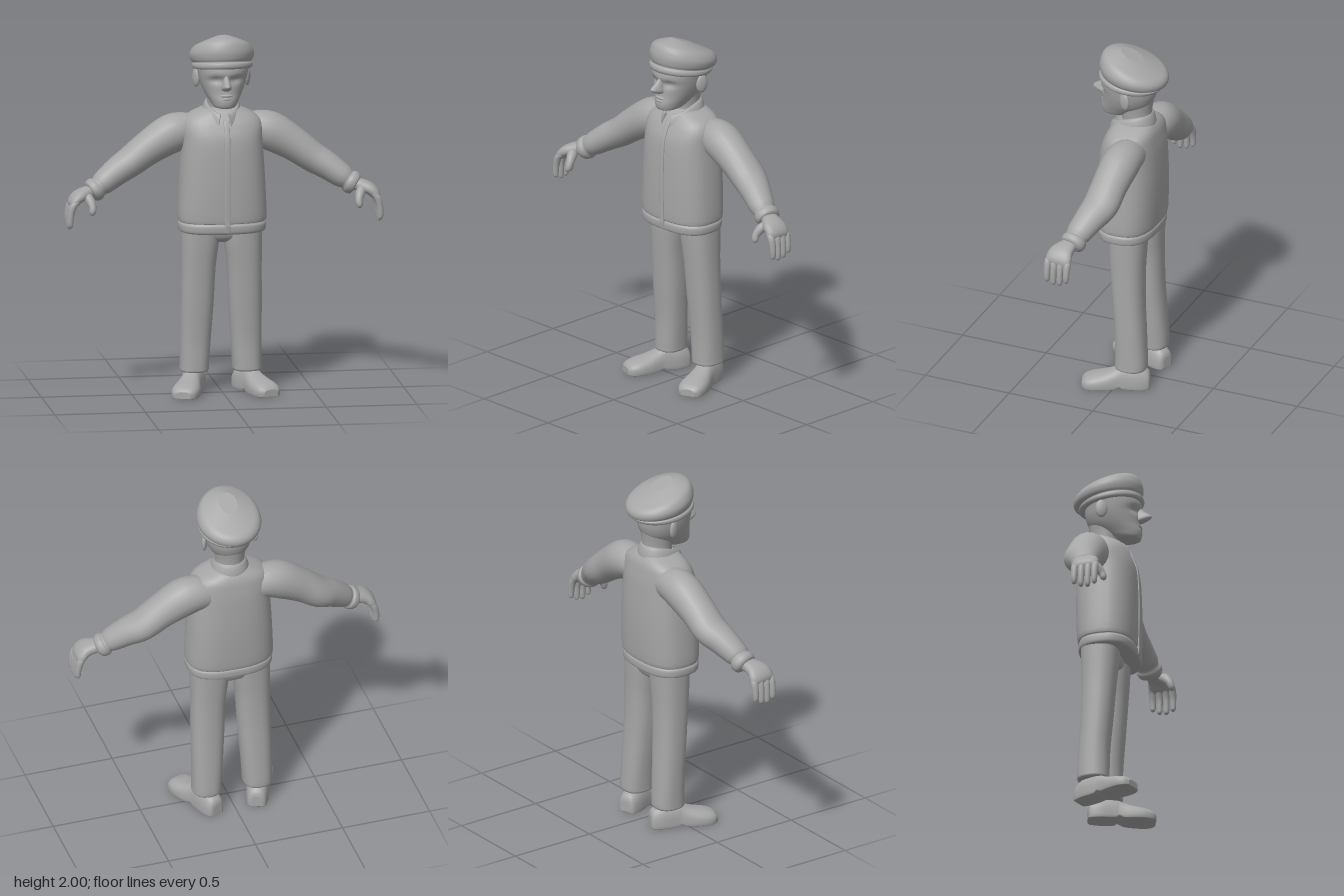
import * as THREE from 'three';

const clay = new THREE.MeshStandardMaterial({ color: 0xa6a6a6 });
clay.name = 'clay grey';
const V = (x, y, z) => new THREE.Vector3(x, y, z);

// Catmull-Rom smoothing of a table of section parameters
function smooth(rows, n = 4) {
  const out = [], at = i => rows[Math.min(rows.length - 1, Math.max(0, i))];
  for (let i = 0; i < rows.length - 1; i++) {
    const [p, a, b, q] = [at(i - 1), at(i), at(i + 1), at(i + 2)];
    for (let k = 0; k < n; k++) {
      const t = k / n;
      out.push(a.map((v, j) => v + 0.5 * t * (b[j] - p[j] +
        t * (2 * p[j] - 5 * v + 4 * b[j] - q[j] + t * (3 * (v - b[j]) + q[j] - p[j])))));
    }
  }
  out.push(rows[rows.length - 1]);
  return out;
}

// Superellipse ring around centre c with half axes u and v
function ring(c, u, v, e = 2, n = 32) {
  const pw = s => Math.sign(s) * Math.pow(Math.abs(s), 2 / e);
  return Array.from({ length: n }, (_, i) => {
    const a = i / n * Math.PI * 2;
    return c.clone().addScaledVector(u, pw(Math.cos(a))).addScaledVector(v, pw(Math.sin(a)));
  });
}

// Closed skin over a list of rings, always facing outward
function loft(rings) {
  const n = rings[0].length, pos = [], idx = [];
  rings.forEach(r => r.forEach(p => pos.push(p.x, p.y, p.z)));
  for (let i = 0; i < rings.length - 1; i++) for (let j = 0; j < n; j++) {
    const a = i * n + j, b = i * n + (j + 1) % n;
    idx.push(a, b, a + n, b, b + n, a + n);
  }
  [0, rings.length - 1].forEach(k => {
    const c = rings[k].reduce((s, p) => s.add(p), V(0, 0, 0)).divideScalar(n);
    const m = pos.length / 3, base = m + 1;
    pos.push(c.x, c.y, c.z);
    rings[k].forEach(p => pos.push(p.x, p.y, p.z));
    for (let j = 0; j < n; j++) {
      const a = base + j, b = base + (j + 1) % n;
      k ? idx.push(m, a, b) : idx.push(m, b, a);
    }
  });
  const P = i => V(pos[3 * i], pos[3 * i + 1], pos[3 * i + 2]);
  let vol = 0;
  for (let i = 0; i < idx.length; i += 3) vol += P(idx[i]).dot(P(idx[i + 1]).cross(P(idx[i + 2])));
  if (vol < 0) idx.reverse();
  const g = new THREE.BufferGeometry();
  g.setAttribute('position', new THREE.Float32BufferAttribute(pos, 3));
  g.setIndex(idx);
  g.computeVertexNormals();
  return g;
}

// Upright body: rows of y, centre x, half width, front z, back z
const upright = (rows, e = 2, n = 4) => loft(smooth(rows, n).map(([y, x, hx, f, b]) =>
  ring(V(x, y, (f + b) / 2), V(hx, 0, 0), V(0, 0, (f - b) / 2), e)));

// Limb: rows of x, y, z, half thickness, half depth along a path
function limb(rows, e = 2, n = 4) {
  const s = smooth(rows, n), c = s.map(r => V(r[0], r[1], r[2]));
  return loft(s.map((r, i) => {
    const d = c[Math.min(i + 1, c.length - 1)].clone().sub(c[Math.max(i - 1, 0)]).normalize();
    const side = V(0, 0, 1).addScaledVector(d, -d.z).normalize();
    return ring(c[i], side.clone().cross(d).multiplyScalar(r[3]), side.multiplyScalar(r[4]), e, 20);
  }));
}

function mirrored(geo) {
  const g = geo.clone().scale(-1, 1, 1);
  g.setIndex(Array.from(geo.index.array).reverse());
  g.computeVertexNormals();
  return g;
}

export function createModel() {
  const model = new THREE.Group();
  model.name = 'man in cap and jacket';
  const add = (name, geo) => {
    const m = new THREE.Mesh(geo, clay);
    m.name = name;
    model.add(m);
  };
  const pair = (name, geo) => {
    add('left ' + name, geo);
    add('right ' + name, mirrored(geo));
  };
  const ball = (x, y, z, sx, sy, sz, ry = 0) =>
    new THREE.SphereGeometry(1, 24, 16).scale(sx, sy, sz).rotateY(ry).translate(x, y, z);

  // Jacket with hem band and front closure
  add('jacket', upright([
    [0.9, 0, 0.222, 0.125, -0.16], [0.91, 0, 0.238, 0.14, -0.174], [0.945, 0, 0.24, 0.143, -0.176],
    [0.96, 0, 0.232, 0.136, -0.17], [0.985, 0, 0.244, 0.143, -0.182], [1.2, 0, 0.235, 0.146, -0.19],
    [1.4, 0, 0.222, 0.138, -0.185], [1.49, 0, 0.22, 0.112, -0.175], [1.54, 0, 0.19, 0.085, -0.165],
    [1.575, 0, 0.12, 0.06, -0.145], [1.59, 0, 0.08, 0.035, -0.12]], 2.6));
  add('placket', loft(smooth([[0.915, 0.138], [0.95, 0.142], [0.985, 0.141], [1.2, 0.144], [1.4, 0.136],
    [1.49, 0.11], [1.53, 0.09]]).map(([y, z]) => ring(V(0.008, y, z), V(0.016, 0, 0), V(0, 0, 0.009), 4, 16))));
  const collar = [];
  for (let i = 0; i <= 40; i++) {
    const a = 0.3 + (2 * Math.PI - 0.6) * i / 40, k = ((1 + Math.cos(a)) / 2) ** 2;
    collar.push(ring(V(Math.sin(a) * 0.092, 1.595 - 0.07 * k, -0.045 + Math.cos(a) * 0.088 + 0.055 * k),
      V(Math.sin(a) * 0.012, 0, Math.cos(a) * 0.012), V(Math.sin(a) * -0.01, 0.038, Math.cos(a) * -0.01), 2.4, 14));
  }
  add('collar', loft(collar));

  // Sleeves with gathered cuffs
  pair('sleeve', limb([
    [0.12, 1.44, -0.07, 0.085, 0.085], [0.2, 1.45, -0.07, 0.1, 0.098], [0.28, 1.432, -0.064, 0.108, 0.106],
    [0.4, 1.362, -0.055, 0.094, 0.1], [0.5, 1.29, -0.047, 0.084, 0.1], [0.58, 1.243, -0.02, 0.077, 0.086],
    [0.66, 1.187, 0.01, 0.066, 0.072], [0.686, 1.168, 0.017, 0.056, 0.063], [0.703, 1.157, 0.02, 0.066, 0.072],
    [0.728, 1.142, 0.023, 0.06, 0.067], [0.738, 1.136, 0.025, 0.035, 0.045]]));

  // Hands
  pair('palm', limb([[0.715, 1.148, 0.025, 0.034, 0.042], [0.76, 1.14, 0.04, 0.034, 0.053],
    [0.805, 1.122, 0.055, 0.034, 0.07], [0.835, 1.092, 0.058, 0.028, 0.074], [0.845, 1.07, 0.06, 0.014, 0.065]], 2.4));
  [0.97, 0.95, 0.945, 0.96].forEach((tip, i) => {
    const z = 0.002 + 0.038 * i;
    pair('finger ' + (i + 1), limb([[0.815, 1.105, z, 0.014, 0.014], [0.84, 1.08, z, 0.02, 0.02],
      [0.853, 1.035, z, 0.018, 0.018], [0.857, tip + 0.03, z, 0.016, 0.016],
      [0.855, tip + 0.008, z, 0.012, 0.012], [0.853, tip, z, 0.003, 0.003]]));
  });
  pair('thumb', limb([[0.765, 1.135, 0.06, 0.022, 0.025], [0.748, 1.11, 0.1, 0.026, 0.028],
    [0.736, 1.075, 0.128, 0.021, 0.021], [0.738, 1.045, 0.138, 0.017, 0.017], [0.74, 1.03, 0.141, 0.004, 0.004]]));

  // Trousers
  add('trouser seat', upright([[0.835, 0, 0.06, 0.0, -0.1], [0.86, 0, 0.13, 0.04, -0.13],
    [0.91, 0, 0.2, 0.055, -0.145], [0.97, 0, 0.21, 0.06, -0.145]], 2.4));
  pair('trouser leg', upright([
    [0.98, 0.115, 0.108, 0.065, -0.15], [0.85, 0.118, 0.105, 0.06, -0.145], [0.7, 0.127, 0.095, 0.048, -0.14],
    [0.5, 0.133, 0.091, 0.032, -0.143], [0.3, 0.14, 0.085, 0.016, -0.155], [0.15, 0.145, 0.08, 0.014, -0.163],
    [0.118, 0.146, 0.079, 0.013, -0.16], [0.11, 0.146, 0.07, 0.005, -0.15]], 2.4));

  // Shoes: rows of z, half width, top height, sole height, turned outward
  const shoe = loft(smooth([
    [-0.158, 0.03, 0.07, 0.006], [-0.145, 0.05, 0.1, 0], [-0.09, 0.062, 0.13, 0], [-0.012, 0.06, 0.135, 0.003],
    [0.01, 0.06, 0.125, 0.014], [0.04, 0.065, 0.108, 0.002], [0.09, 0.075, 0.09, 0], [0.15, 0.078, 0.076, 0],
    [0.195, 0.066, 0.06, 0], [0.216, 0.042, 0.04, 0.003]]).map(([z, w, top, low]) =>
    ring(V(0, 0, z), V(w, 0, 0), V(0, 1, 0), 2.5, 32).map(p => {
      p.y = p.y > 0 ? Math.max(low, 0.02 + (top - 0.02) * p.y) : low + (0.02 - low) * Math.max(0, 1 + p.y * 3);
      return p;
    })));
  pair('shoe', shoe.rotateY(0.36).translate(0.168, 0, -0.025));

  // Neck and head, with hollowed eye sockets
  add('neck', upright([[1.5, 0, 0.085, 0.06, -0.12], [1.58, 0, 0.078, 0.04, -0.125],
    [1.65, 0, 0.082, 0.05, -0.128], [1.73, 0, 0.095, 0.05, -0.14]]));
  const head = upright([
    [1.603, 0, 0.035, 0.138, 0.05], [1.612, 0, 0.062, 0.155, 0.0], [1.645, 0, 0.083, 0.162, -0.07],
    [1.69, 0, 0.108, 0.153, -0.125], [1.74, 0, 0.127, 0.152, -0.148], [1.79, 0, 0.138, 0.16, -0.155],
    [1.83, 0, 0.143, 0.155, -0.16], [1.87, 0, 0.135, 0.14, -0.15]], 2.15, 8);
  const p = head.attributes.position;
  for (let i = 0; i < p.count; i++) if (p.getZ(i) > 0.04) {
    const dx = (Math.abs(p.getX(i)) - 0.052) / 0.035, dy = (p.getY(i) - 1.765) / 0.022;
    p.setZ(i, p.getZ(i) - 0.02 * Math.exp(-dx * dx - dy * dy));
  }
  head.computeVertexNormals();
  add('head', head);
  add('nose', upright([[1.79, 0, 0.014, 0.158, 0.1], [1.77, 0, 0.017, 0.178, 0.1], [1.745, 0, 0.022, 0.214, 0.1],
    [1.73, 0, 0.027, 0.215, 0.1], [1.712, 0, 0.026, 0.185, 0.1], [1.702, 0, 0.012, 0.15, 0.1]]));
  add('upper lip', ball(0, 1.678, 0.148, 0.034, 0.009, 0.014));
  add('lower lip', ball(0, 1.66, 0.149, 0.028, 0.009, 0.014));
  pair('ear', ball(0.142, 1.752, -0.03, 0.016, 0.052, 0.034, -0.35));

  // Peaked cap: rows of front z, front y, back z, back y, half width
  add('cap', loft(smooth([
    [0.145, 1.828, -0.15, 1.79, 0.14], [0.162, 1.828, -0.172, 1.785, 0.158], [0.171, 1.842, -0.185, 1.792, 0.166],
    [0.168, 1.86, -0.19, 1.802, 0.165], [0.157, 1.868, -0.187, 1.81, 0.159], [0.164, 1.888, -0.212, 1.818, 0.171],
    [0.165, 1.93, -0.219, 1.845, 0.176], [0.145, 1.978, -0.205, 1.872, 0.155], [0.1, 1.994, -0.165, 1.897, 0.11],
    [0.05, 2.0, -0.08, 1.945, 0.05]]).map(([fz, fy, bz, by, hx]) =>
    ring(V(0, (fy + by) / 2, (fz + bz) / 2), V(hx, 0, 0), V(0, (fy - by) / 2, (fz - bz) / 2), 2, 40))));

  return model;
}
